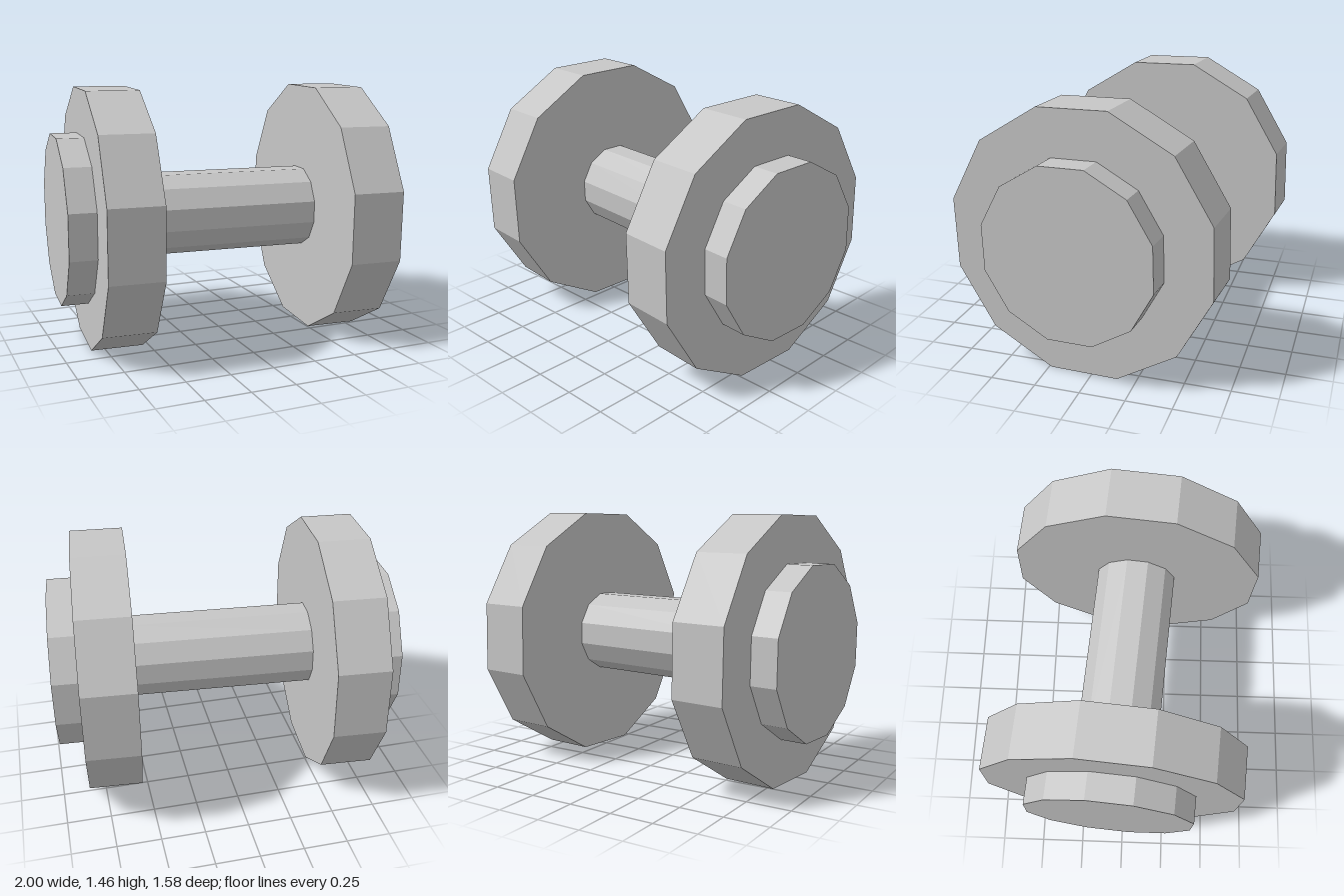
import * as THREE from 'three';

const SIDES = 12;
const TWIST = THREE.MathUtils.degToRad(16.5); // roll of the facets about the bar
const YAW = THREE.MathUtils.degToRad(-4.34);  // slight turn of the whole dumbbell
const AXIS_Y = 0.73;

export function createModel() {
  const steel = new THREE.MeshStandardMaterial({ color: 0xc6c6c6, flatShading: true });
  steel.name = 'grey steel';

  const model = new THREE.Group();
  model.name = 'dumbbell';

  // Faceted disc or rod lying along x, from x0 to x1
  const addRod = (name, radius, x0, x1) => {
    const geometry = new THREE.CylinderGeometry(radius, radius, x1 - x0, SIDES, 1, false, TWIST);
    geometry.rotateZ(-Math.PI / 2);
    const mesh = new THREE.Mesh(geometry, steel);
    mesh.name = name;
    mesh.position.x = (x0 + x1) / 2;
    assembly.add(mesh);
  };

  const assembly = new THREE.Group();
  assembly.name = 'turnedAssembly';
  assembly.position.y = AXIS_Y;
  assembly.rotation.y = YAW;
  model.add(assembly);

  // Grip between the two weights
  addRod('handle', 0.24, -0.52, 0.52);

  // Large weights and smaller end discs
  addRod('leftWeight', 0.751, 0.52, 0.816);
  addRod('rightWeight', 0.751, -0.816, -0.52);
  addRod('leftEndDisc', 0.486, 0.816, 0.966);
  addRod('rightEndDisc', 0.486, -0.966, -0.816);

  return model;
}
